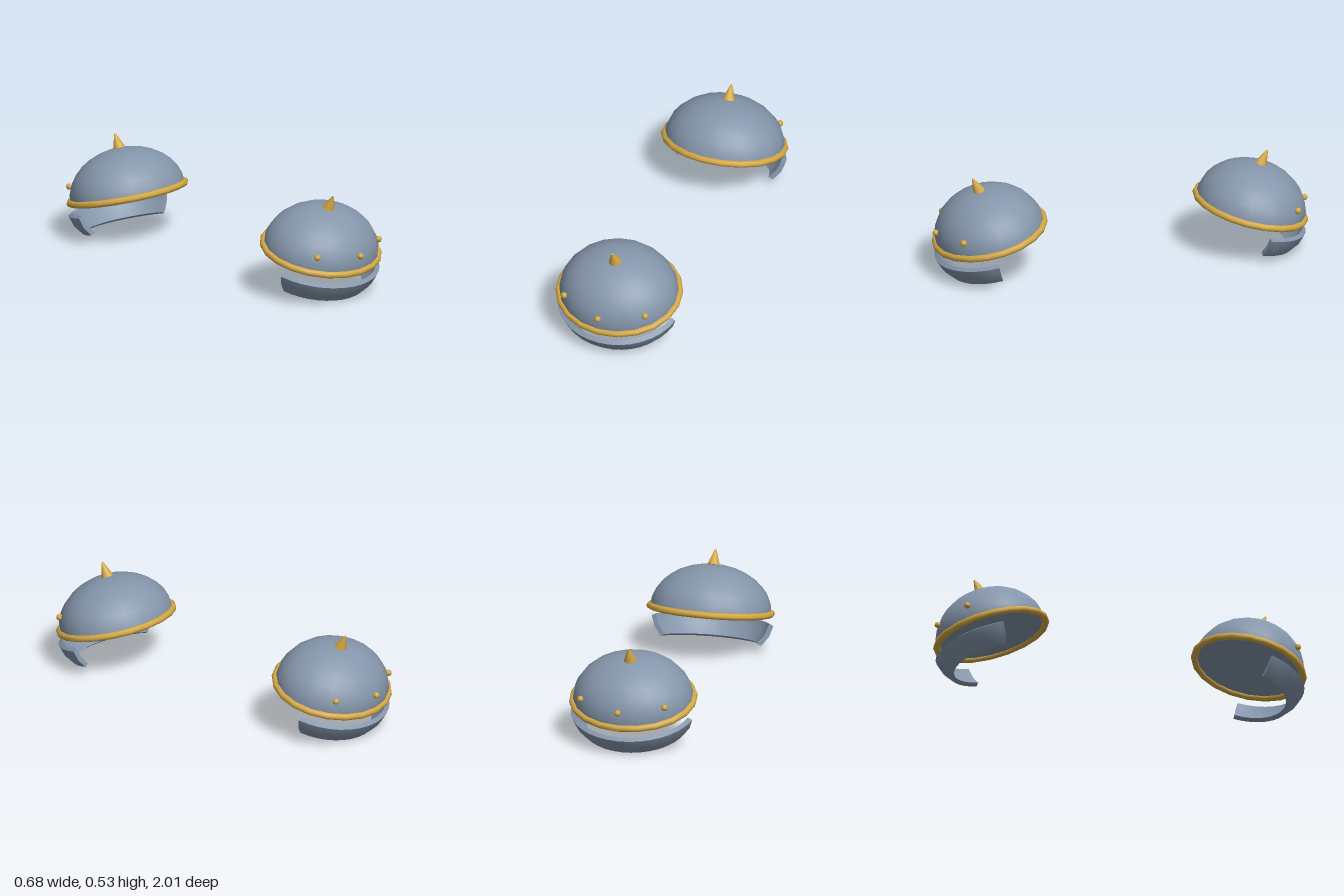
import * as THREE from 'three';
import { toCreasedNormals } from 'three/addons/utils/BufferGeometryUtils.js';

const TILT = 0.244;        // outward lean of each shoulder guard
const RADIUS = 0.29;       // dome radius before widening
const WIDEN = 1.1;         // sideways stretch of the dome
const HEIGHT = 0.238;

function createMaterials() {
  const steel = new THREE.MeshStandardMaterial({ color: 0x8596ab, side: THREE.DoubleSide });
  steel.name = 'steel';
  const gold = new THREE.MeshStandardMaterial({ color: 0xd4a843 });
  gold.name = 'gold';
  return { steel, gold };
}

function add(parent, name, geometry, material) {
  const mesh = new THREE.Mesh(geometry, material);
  mesh.name = name;
  parent.add(mesh);
  return mesh;
}

// Curved lower plate: a partial lathe with closed ends
function createLowerPlate(material) {
  const plate = new THREE.Group();
  plate.name = 'lowerPlate';
  const profile = [
    [0.258, -0.171], [0.294, -0.122], [0.312, -0.067],
    [0.290, -0.056], [0.272, -0.111], [0.236, -0.160],
  ].map(([r, y]) => new THREE.Vector2(r, y));
  const half = Math.PI * 0.45;
  const band = new THREE.LatheGeometry([...profile, profile[0]], 16, -half, half * 2);
  add(plate, 'plateBand', toCreasedNormals(band, 0.5), material);
  for (const side of [-1, 1]) {
    const end = add(plate, 'plateEnd', new THREE.ShapeGeometry(new THREE.Shape(profile)), material);
    end.rotation.y = side * half - Math.PI / 2;
  }
  plate.scale.x = 1.07;
  return plate;
}

function createShoulderGuard({ steel, gold }) {
  const guard = new THREE.Group();
  guard.name = 'shoulderGuard';

  // Dome and its flat underside
  const dome = add(guard, 'dome',
    new THREE.SphereGeometry(RADIUS, 20, 8, 0, Math.PI * 2, 0, Math.PI / 2), steel);
  dome.scale.set(WIDEN, HEIGHT / RADIUS, 1);
  const base = add(guard, 'domeUnderside', new THREE.CircleGeometry(RADIUS, 20), steel);
  base.rotation.x = Math.PI / 2;
  base.scale.x = WIDEN;

  // Gold rim
  const rim = add(guard, 'rim', new THREE.TorusGeometry(RADIUS, 0.018, 8, 20), gold);
  rim.rotation.x = Math.PI / 2;
  rim.scale.x = WIDEN;

  // Spike on the crown, leaning slightly further out
  const spikeGeometry = new THREE.CylinderGeometry(0.005, 0.033, 0.08, 12);
  spikeGeometry.translate(0, 0.04, 0);
  const spike = add(guard, 'spike', spikeGeometry, gold);
  spike.position.y = 0.235;
  spike.rotation.x = 0.2;

  // Three rivets along the outer side
  for (const angle of [-0.85, 0, 0.85]) {
    const rivet = add(guard, 'rivet', new THREE.SphereGeometry(0.017, 10, 8), gold);
    rivet.position.set(Math.sin(angle) * 0.277 * WIDEN, 0.086, Math.cos(angle) * 0.277);
  }

  guard.add(createLowerPlate(steel));
  return guard;
}

export function createModel() {
  const model = new THREE.Group();
  model.name = 'shoulderArmour';
  const materials = createMaterials();

  // A matching pair facing away from each other
  for (const turn of [0, Math.PI]) {
    const side = new THREE.Group();
    side.name = turn ? 'backShoulder' : 'frontShoulder';
    const guard = createShoulderGuard(materials);
    guard.position.set(0, 0.23, 0.7);
    guard.rotation.x = TILT;
    side.add(guard);
    side.rotation.y = turn;
    model.add(side);
  }
  return model;
}
